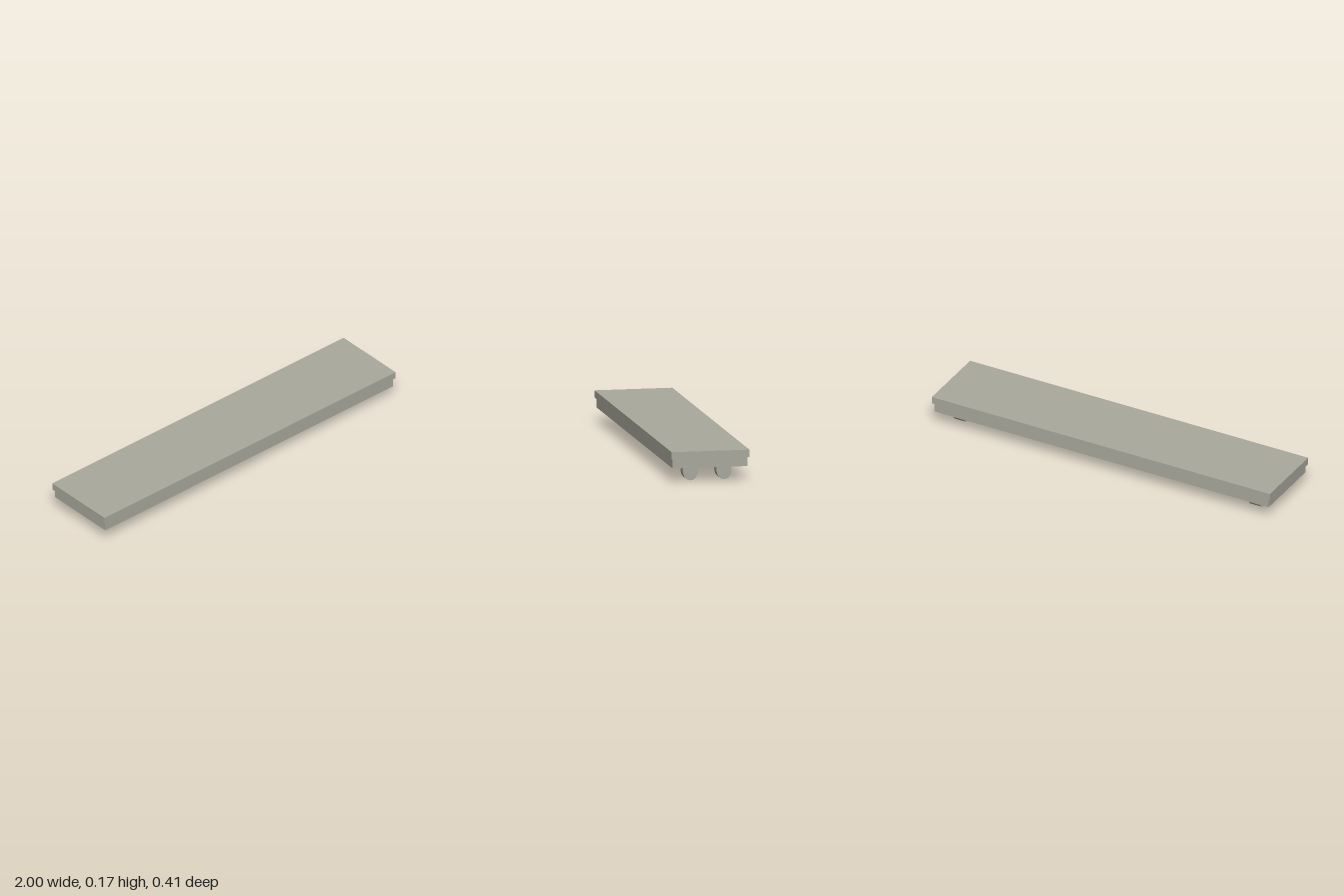
import * as THREE from 'three';

export function createModel() {
  const group = new THREE.Group();
  group.name = 'ceilingLight';
  const housingMat = new THREE.MeshStandardMaterial({ color: 0xaaa99d });
  housingMat.name = 'warm grey housing';
  const tubeMat = new THREE.MeshStandardMaterial({ color: 0xc6c6cc });
  tubeMat.name = 'pale tube';
  const capMat = new THREE.MeshStandardMaterial({ color: 0x34342f });
  capMat.name = 'dark cap';

  const add = (name, geometry, material, x = 0, y = 0, z = 0) => {
    const mesh = new THREE.Mesh(geometry, material);
    mesh.name = name;
    mesh.position.set(x, y, z);
    group.add(mesh);
  };
  const rect = (target, hx, hz) =>
    target.moveTo(-hx, -hz).lineTo(hx, -hz).lineTo(hx, hz).lineTo(-hx, hz).closePath();

  // Overhanging top plate, also the ceiling of the recess
  add('topPlate', new THREE.BoxGeometry(2, 0.038, 0.412), housingMat, 0, 0.146);

  // Open frame under the plate
  const frame = rect(new THREE.Shape(), 0.988, 0.198);
  frame.holes.push(rect(new THREE.Path(), 0.974, 0.184));
  const frameGeo = new THREE.ExtrudeGeometry(frame, { depth: 0.05, bevelEnabled: false });
  frameGeo.rotateX(-Math.PI / 2);
  add('frame', frameGeo, housingMat, 0, 0.077);

  // Socket: upright with a rounded lower end, extruded along x
  const socket = new THREE.Shape();
  socket.moveTo(0.04, 0.127);
  socket.lineTo(-0.04, 0.127);
  socket.lineTo(-0.04, 0.048);
  socket.absellipse(0, 0.048, 0.04, 0.048, Math.PI, Math.PI * 2, false);
  socket.closePath();
  const socketGeo = new THREE.ExtrudeGeometry(socket, { depth: 0.063, bevelEnabled: false, curveSegments: 10 });
  socketGeo.rotateY(Math.PI / 2);
  socketGeo.translate(-0.0315, 0, 0);

  const tubeGeo = new THREE.CylinderGeometry(0.032, 0.032, 1.62, 24).rotateZ(Math.PI / 2);
  const capGeo = new THREE.CylinderGeometry(0.03, 0.03, 0.036, 24).rotateZ(Math.PI / 2);

  // Two lamps, each with a cap and socket at both ends
  const midX = 0.011, lampY = 0.064;
  for (const z of [-0.089, 0.089]) {
    add('lampTube', tubeGeo, tubeMat, midX, lampY, z);
    for (const side of [-1, 1]) {
      add('lampCap', capGeo, capMat, midX + side * 0.827, lampY, z);
      add('socket', socketGeo, housingMat, midX + side * 0.874, 0, z);
    }
  }
  return group;
}
